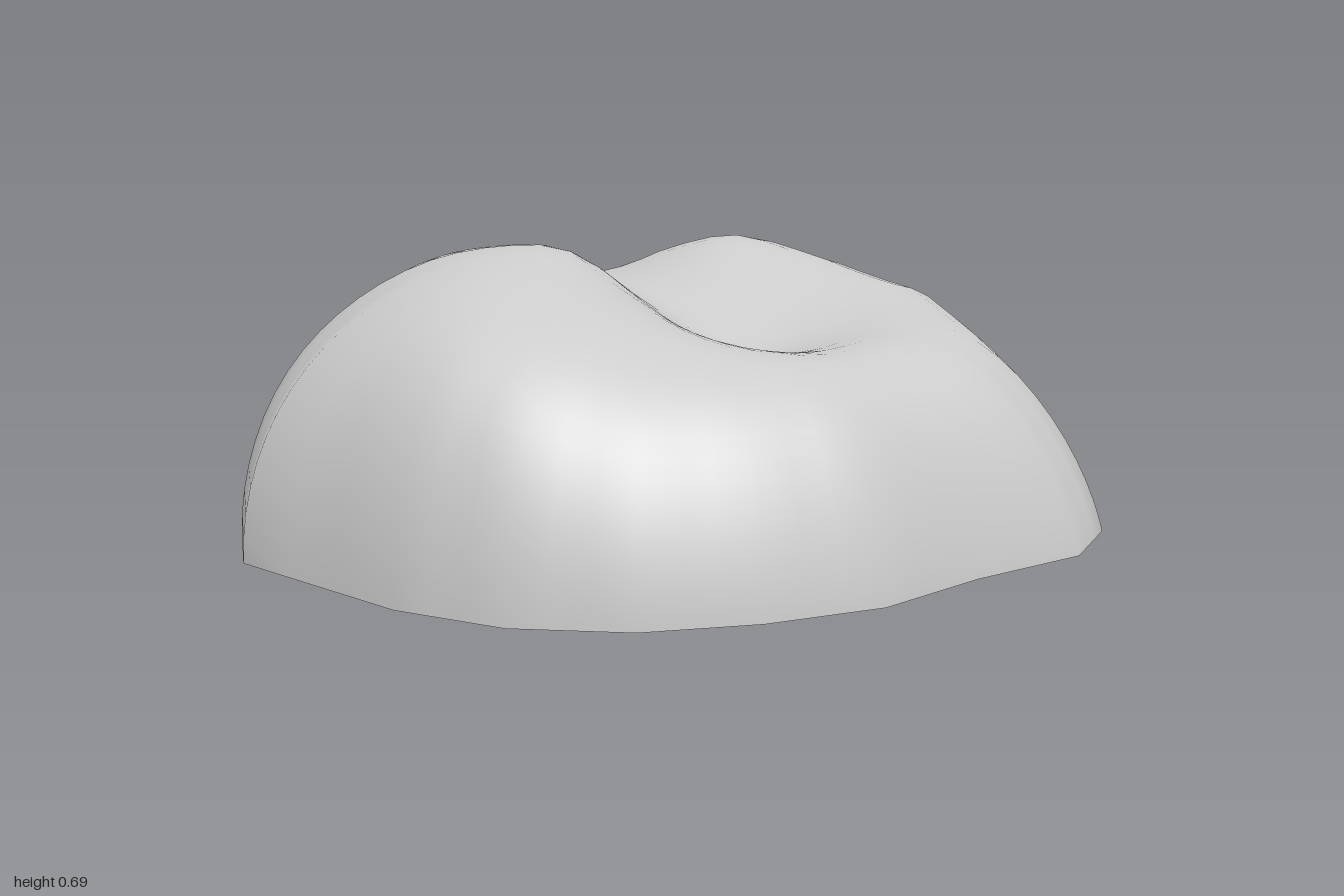
import * as THREE from 'three';

// Ground outline as [x, z] corners, running from +x towards +z
const OUTLINE = [
  [1, -0.11], [0.99, 0.4], [0.82, 0.57], [0.51, 0.66], [0.23, 0.78], [-0.05, 0.8],
  [-0.31, 0.77], [-0.55, 0.66], [-0.74, 0.47], [-1, 0.02], [-0.98, -0.23], [-0.76, -0.5],
  [-0.49, -0.66], [-0.25, -0.76], [0, -0.81], [0.26, -0.78], [0.57, -0.63], [0.83, -0.38],
];

// Bumps and hollows of the top: [x, z, width, height]
const FEATURES = [
  [-0.4, 0, 0.4, 0.1],          // left hump
  [-0.2, -0.05, 0.14, 0.03],    // steep inner side of the left hump
  [0.3, -0.4, 0.25, 0.065],     // back hump
  [-0.03, -0.38, 0.25, -0.08],  // saddle between the humps
  [0.14, 0.17, 0.2, -0.08],     // pit
  [0.3, 0.12, 0.36, -0.06],     // wide hollow around the pit
  [0.02, -0.07, 0.18, -0.05],   // groove running back from the pit
  [0.92, 0.47, 0.25, -0.12],    // sloping front corner
];

// Directions in which the shoulder is squarer: [x, z, amount]
const SHOULDERS = [
  [-0.84, 0.54, 3.5],
  [0.88, -0.47, 2],
  [-0.8, -0.6, 1],
];

function topHeight(x, z) {
  let h = 0.585 - 0.13 * z;
  for (const [fx, fz, w, a] of FEATURES) {
    h += a * Math.exp(-((x - fx) ** 2 + (z - fz) ** 2) / (w * w));
  }
  return h;
}

// Side profile: round on the left, a straighter wall on the right
function wallHeight(s, rx, rz) {
  const r = Math.hypot(rx, rz);
  const cx = rx / r;
  const cz = rz / r;
  let power = 5.3 + 1.5 * cx;
  for (const [dx, dz, amount] of SHOULDERS) {
    power += amount * Math.max(0, cx * dx + cz * dz) ** 12;
  }
  return Math.max(0, 1 - s ** power) ** (0.72 + 0.2 * cx - 0.08 * cz);
}

// Dome of concentric rings, open underneath
function domeGeometry(rings = 22, split = 3) {
  const n = OUTLINE.length * split;
  const pos = [0, topHeight(0, 0), 0];
  const index = [];
  const at = (i, j) => 1 + (i - 1) * n + (j % n);
  for (let i = 1; i <= rings; i++) {
    const s = Math.sin((i / rings) * Math.PI / 2);
    for (let j = 0; j < n; j++) {
      const k = Math.floor(j / split);
      const t = (j % split) / split;
      const a = OUTLINE[k];
      const b = OUTLINE[(k + 1) % OUTLINE.length];
      const rx = a[0] + (b[0] - a[0]) * t;
      const rz = a[1] + (b[1] - a[1]) * t;
      pos.push(rx * s, wallHeight(s, rx, rz) * topHeight(rx * s, rz * s), rz * s);
      if (i === 1) index.push(0, at(1, j + 1), at(1, j));
      else {
        index.push(at(i - 1, j), at(i - 1, j + 1), at(i, j));
        index.push(at(i - 1, j + 1), at(i, j + 1), at(i, j));
      }
    }
  }
  const geo = new THREE.BufferGeometry();
  geo.setAttribute('position', new THREE.Float32BufferAttribute(pos, 3));
  geo.setIndex(index);
  geo.computeVertexNormals();
  return geo;
}

export function createModel() {
  const group = new THREE.Group();
  group.name = 'boulder';
  const material = new THREE.MeshStandardMaterial({ color: 0xcccccc, side: THREE.DoubleSide });
  const shell = new THREE.Mesh(domeGeometry(), material);
  shell.name = 'rockShell';
  group.add(shell);
  return group;
}
